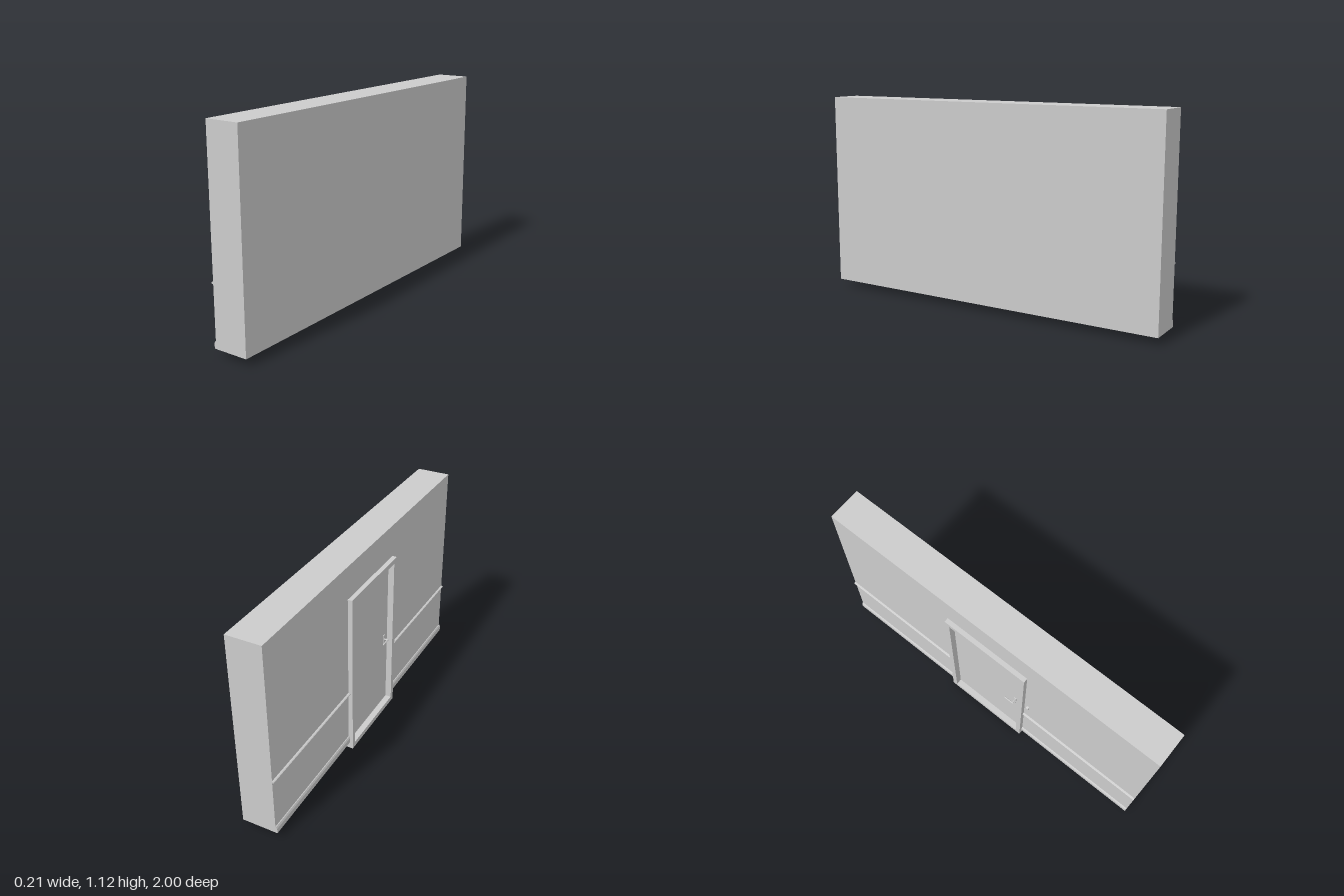
import * as THREE from 'three';

const WALL_X = -0.081, FRONT_X = -0.106, POCKET_X = -0.037, DOOR_X = -0.072;
const Z0 = -0.255, Z1 = 0.25, TOP = 0.94, TRIM = 0.028;

export function createModel() {
  const model = new THREE.Group();
  const mat = new THREE.MeshStandardMaterial({ color: 0xcccccc, flatShading: true });
  const smooth = new THREE.MeshStandardMaterial({ color: 0xcccccc });

  const add = (name, geo, material = mat) => {
    const mesh = new THREE.Mesh(geo, material);
    mesh.name = name;
    model.add(mesh);
    return mesh;
  };
  const box = (name, x0, x1, y0, y1, z0, z1) => {
    const g = new THREE.BoxGeometry(x1 - x0, y1 - y0, z1 - z0);
    g.translate((x0 + x1) / 2, (y0 + y1) / 2, (z0 + z1) / 2);
    return add(name, g);
  };
  // Outline in (z, y), extruded along +x from x0 to x1
  const slab = (name, shape, x0, x1) => {
    const g = new THREE.ExtrudeGeometry(shape, { depth: x1 - x0, bevelEnabled: false });
    g.rotateY(-Math.PI / 2);
    g.translate(x1, 0, 0);
    return add(name, g);
  };
  // Profile in (x, y), extruded along z from z0 to z1
  const moulding = (name, points, z0, z1) => {
    const shape = new THREE.Shape(points.map(([x, y]) => new THREE.Vector2(x, y)));
    const g = new THREE.ExtrudeGeometry(shape, { depth: z1 - z0, bevelEnabled: false });
    g.translate(0, 0, z0);
    return add(name, g);
  };
  const outline = (pts) => new THREE.Shape(pts.map(([z, y]) => new THREE.Vector2(z, y)));

  // Wall: solid core and a face layer notched around the doorway
  box('wallCore', POCKET_X, 0.106, 0.04, 1.12, -1, 1);
  slab('wallFace', outline([
    [-1, 0.04], [Z0, 0.04], [Z0, TOP], [Z1, TOP], [Z1, 0.04], [1, 0.04], [1, 1.12], [-1, 1.12],
  ]), WALL_X, POCKET_X);

  // Door frame with sill
  const frame = outline([[Z0, 0], [Z1, 0], [Z1, TOP], [Z0, TOP]]);
  frame.holes.push(new THREE.Path([
    [Z0 + TRIM, TRIM], [Z0 + TRIM, TOP - TRIM], [Z1 - TRIM, TOP - TRIM], [Z1 - TRIM, TRIM],
  ].map(([z, y]) => new THREE.Vector2(z, y))));
  slab('doorFrame', frame, FRONT_X, POCKET_X);

  // Door leaf
  box('door', DOOR_X, POCKET_X, TRIM, TOP - TRIM, Z0 + TRIM, Z1 - TRIM);

  // Door handle: plate, spindle and lever
  box('handlePlate', DOOR_X - 0.004, DOOR_X, 0.41, 0.475, 0.172, 0.188);
  const spindle = add('handleSpindle', new THREE.CylinderGeometry(0.004, 0.004, 0.024, 16), smooth);
  spindle.rotation.z = Math.PI / 2;
  spindle.position.set(DOOR_X - 0.014, 0.45, 0.18);
  const lever = add('handleLever', new THREE.CapsuleGeometry(0.004, 0.052, 6, 16), smooth);
  lever.rotation.x = Math.PI / 2;
  lever.position.set(DOOR_X - 0.025, 0.45, 0.156);

  // Baseboard and wall rail on both sides of the door
  for (const [z0, z1] of [[-1, Z0], [Z1, 1]]) {
    moulding('baseboard', [
      [WALL_X, 0.04], [WALL_X, 0.08], [-0.085, 0.078], [-0.09, 0.068], [-0.09, 0.04],
    ], z0, z1);
    moulding('wallRail', [
      [WALL_X, 0.359], [WALL_X, 0.373], [-0.088, 0.371], [-0.092, 0.368], [-0.092, 0.364], [-0.088, 0.361],
    ], z0, z1);
  }

  // Rounded wall button beside the door
  const button = add('wallButton', new THREE.CylinderGeometry(0.0135, 0.0135, 0.014, 24), mat);
  button.rotation.x = Math.PI / 2;
  button.position.set(WALL_X, 0.517, 0.274);

  return model;
}
